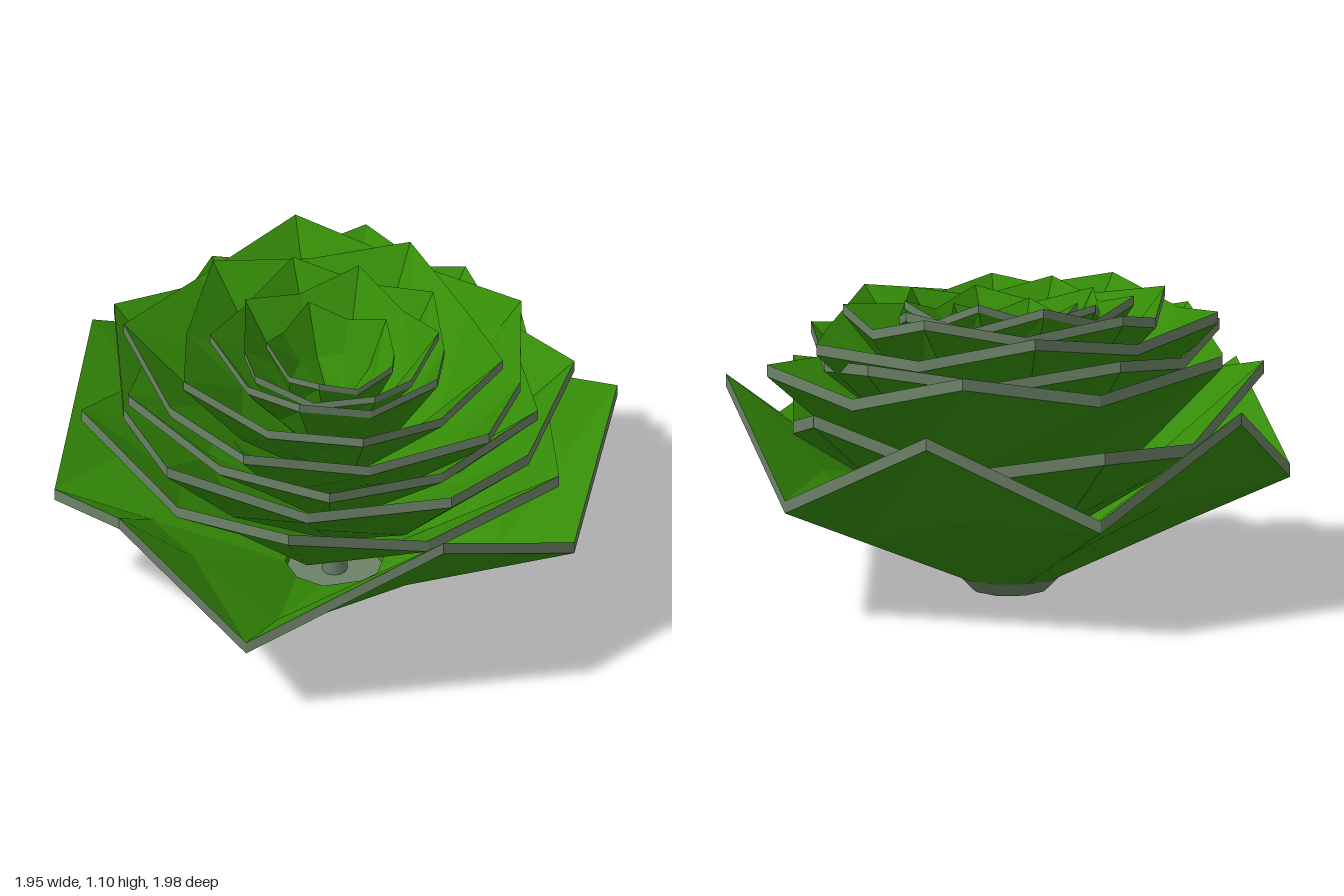
import * as THREE from 'three';

const HALF = Math.PI / 5; // half of a 72 degree petal

// One ring of five petals per entry: first petal angle (degrees), tip radius,
// tip heights, dips before each tip, valley radius ratio, root height, thickness
const RINGS = [
  { start: -6, r: 1.0, tips: [0.79, 0.78, 0.75, 0.76, 0.71], dips: [0.41, 0.27, 0.32, 0.31, 0.29], valley: 0.99, root: 0.095, thick: 0.045 },
  { start: -39, r: 0.9, tips: [0.80, 0.74, 0.75, 0.67, 0.81], dips: 0.13, valley: 0.85, root: 0.17, thick: 0.045 },
  { start: 0, r: 0.86, tips: [0.87, 0.83, 0.94, 0.93, 0.91], dips: 0.09, valley: 0.88, root: 0.25, thick: 0.043 },
  { start: 42, r: 0.76, tips: [0.90, 0.93, 0.96, 0.94, 0.89], dips: 0.06, valley: 0.88, root: 0.34, thick: 0.04 },
  { start: 18, r: 0.75, tips: [0.98, 0.95, 1.06, 1.03, 1.0], dips: 0.06, valley: 0.88, root: 0.42, thick: 0.04 },
  { start: -19, r: 0.6, tips: [1.01, 1.0, 1.08, 1.08, 1.04], dips: 0.06, valley: 0.88, root: 0.5, thick: 0.036 },
  { start: 27, r: 0.44, tips: [1.03, 1.05, 1.1, 1.06, 1.04], dips: 0.06, valley: 0.88, root: 0.58, thick: 0.032 },
  { start: -6, r: 0.37, tips: [1.02, 1.04, 1.1, 1.07, 1.04], dips: 0.06, valley: 0.86, root: 0.66, thick: 0.028 },
  { start: 30, r: 0.24, tips: [1.0, 1.01, 1.04, 1.03, 1.0], dips: 0.05, valley: 0.88, root: 0.74, thick: 0.025 },
];

const polar = (r, a, y) => new THREE.Vector3(r * Math.sin(a), y, r * Math.cos(a));

// Flat-faced geometry from a list of quads
function fromQuads(quads) {
  const points = quads.flatMap(([a, b, c, d]) => [a, b, c, a, c, d]);
  const geometry = new THREE.BufferGeometry().setFromPoints(points);
  geometry.computeVertexNormals();
  return geometry;
}

// Lowest rim point shared by petal k and the petal before it;
// a deeper dip also slides inward
function valleyPoint(ring, k) {
  const dip = Array.isArray(ring.dips) ? ring.dips[k] : ring.dips;
  const y = (ring.tips[k] + ring.tips[(k + 4) % 5]) / 2 - dip;
  const deep = dip > 0.4;
  const a = THREE.MathUtils.degToRad(ring.start + 72 * k - (deep ? 42 : 36));
  return polar(ring.r * (deep ? 0.94 : ring.valley), a, y);
}

// Three rows of three points: root, fold, and outer edge with a raised tip
function petalRows(ring, k) {
  const a = THREE.MathUtils.degToRad(ring.start + 72 * k);
  const rootR = ring.root < 0.1 ? 0.175 : 0.05;
  const outer = [valleyPoint(ring, k), polar(ring.r, a, ring.tips[k]), valleyPoint(ring, (k + 1) % 5)];
  const root = [-1, 0, 1].map((side) => polar(rootR, a + side * HALF, ring.root));
  const fold = root.map((p, j) => {
    const q = p.clone().lerp(outer[j], 0.58);
    return q.setY(q.y - (j === 1 ? 0.06 : 0));
  });
  return [root, fold, outer];
}

function makePetal(ring, k, leaf, rim) {
  const top = petalRows(ring, k);
  const low = top.map((row) => row.map((p) => p.clone().setY(p.y - ring.thick)));
  const faces = [], edges = [];
  for (let i = 0; i < 2; i++) {
    for (let j = 0; j < 2; j++) {
      faces.push([top[i][j], top[i + 1][j], top[i + 1][j + 1], top[i][j + 1]]);
      faces.push([low[i][j], low[i][j + 1], low[i + 1][j + 1], low[i + 1][j]]);
    }
    // root end, side edges, then the outer rim
    faces.push([low[0][i], top[0][i], top[0][i + 1], low[0][i + 1]]);
    edges.push([low[i][0], low[i + 1][0], top[i + 1][0], top[i][0]]);
    edges.push([low[i][2], top[i][2], top[i + 1][2], low[i + 1][2]]);
    edges.push([low[2][i], low[2][i + 1], top[2][i + 1], top[2][i]]);
  }
  const petal = new THREE.Group();
  petal.name = 'petal';
  const blade = new THREE.Mesh(fromQuads(faces), leaf);
  blade.name = 'petalBlade';
  const edge = new THREE.Mesh(fromQuads(edges), rim);
  edge.name = 'petalEdge';
  petal.add(blade, edge);
  return petal;
}

export function createModel() {
  const leaf = new THREE.MeshStandardMaterial({ color: 0x358c08 });
  leaf.name = 'leafGreen';
  const rim = new THREE.MeshStandardMaterial({ color: 0x6c8268 });
  rim.name = 'edgeGrey';

  const model = new THREE.Group();
  model.name = 'rosette';

  RINGS.forEach((ring, i) => {
    const group = new THREE.Group();
    group.name = `petalRing${i + 1}`;
    for (let k = 0; k < 5; k++) group.add(makePetal(ring, k, leaf, rim));
    model.add(group);
  });

  // Flared foot under the outer petals
  const footShape = new THREE.CylinderGeometry(0.185, 0.13, 0.055, 8).toNonIndexed();
  footShape.computeVertexNormals();
  const foot = new THREE.Mesh(footShape, rim);
  foot.name = 'foot';
  foot.position.y = 0.0275;

  // Core stem, its end showing in the middle of the rosette
  const stem = new THREE.Mesh(new THREE.CylinderGeometry(0.045, 0.045, 0.74, 12), rim);
  stem.name = 'stem';
  stem.position.y = 0.4;
  model.add(foot, stem);
  return model;
}
